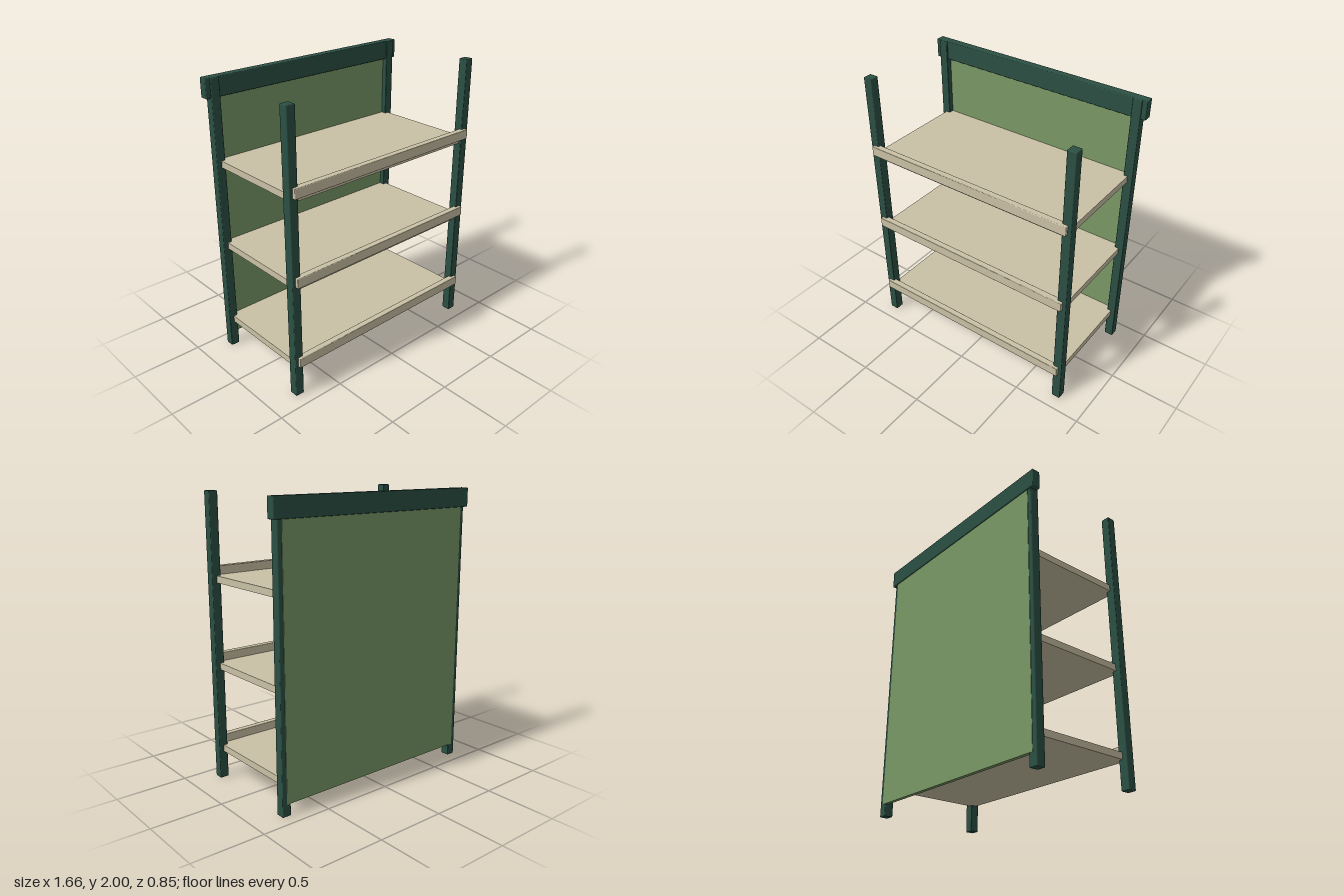
import * as THREE from 'three';
import { RoundedBoxGeometry } from 'three/addons/geometries/RoundedBoxGeometry.js';

export function createModel() {
  const group = new THREE.Group();
  group.name = 'shelfUnit';

  const material = (name, color) => {
    const m = new THREE.MeshStandardMaterial({ color });
    m.name = name;
    return m;
  };
  const darkGreen = material('darkGreenFrame', 0x2b4f43);
  const green = material('greenPanel', 0x7a9866);
  const wood = material('paleWood', 0xcac1a5);

  // Box given by its limits on each axis, with an optional softened edge
  const block = (name, mat, [x0, x1], [y0, y1], [z0, z1], edge = 0) => {
    const size = [x1 - x0, y1 - y0, z1 - z0];
    const geometry = edge
      ? new RoundedBoxGeometry(...size, 2, edge)
      : new THREE.BoxGeometry(...size);
    const mesh = new THREE.Mesh(geometry, mat);
    mesh.name = name;
    mesh.position.set((x0 + x1) / 2, (y0 + y1) / 2, (z0 + z1) / 2);
    group.add(mesh);
  };

  // Four corner posts
  for (const [side, x] of [['Left', [0.736, 0.8]], ['Right', [-0.8, -0.736]]]) {
    block('frontPost' + side, darkGreen, x, [0, 2], [0.34, 0.404], 0.006);
    block('backPost' + side, darkGreen, x, [0, 2], [-0.415, -0.352], 0.006);
  }

  // Back panel and the header rail across its top
  block('backPanel', green, [-0.768, 0.768], [0.085, 1.9], [-0.418, -0.39]);
  block('headerRail', darkGreen, [-0.832, 0.832], [1.867, 2], [-0.426, -0.363], 0.006);

  // Three shelves, each with a raised front lip
  for (const y of [0.195, 0.795, 1.397]) {
    block('shelf', wood, [-0.766, 0.766], [y, y + 0.047], [-0.39, 0.385]);
    block('shelfLip', wood, [-0.776, 0.776], [y + 0.036, y + 0.106], [0.38, 0.426], 0.005);
  }

  return group;
}
